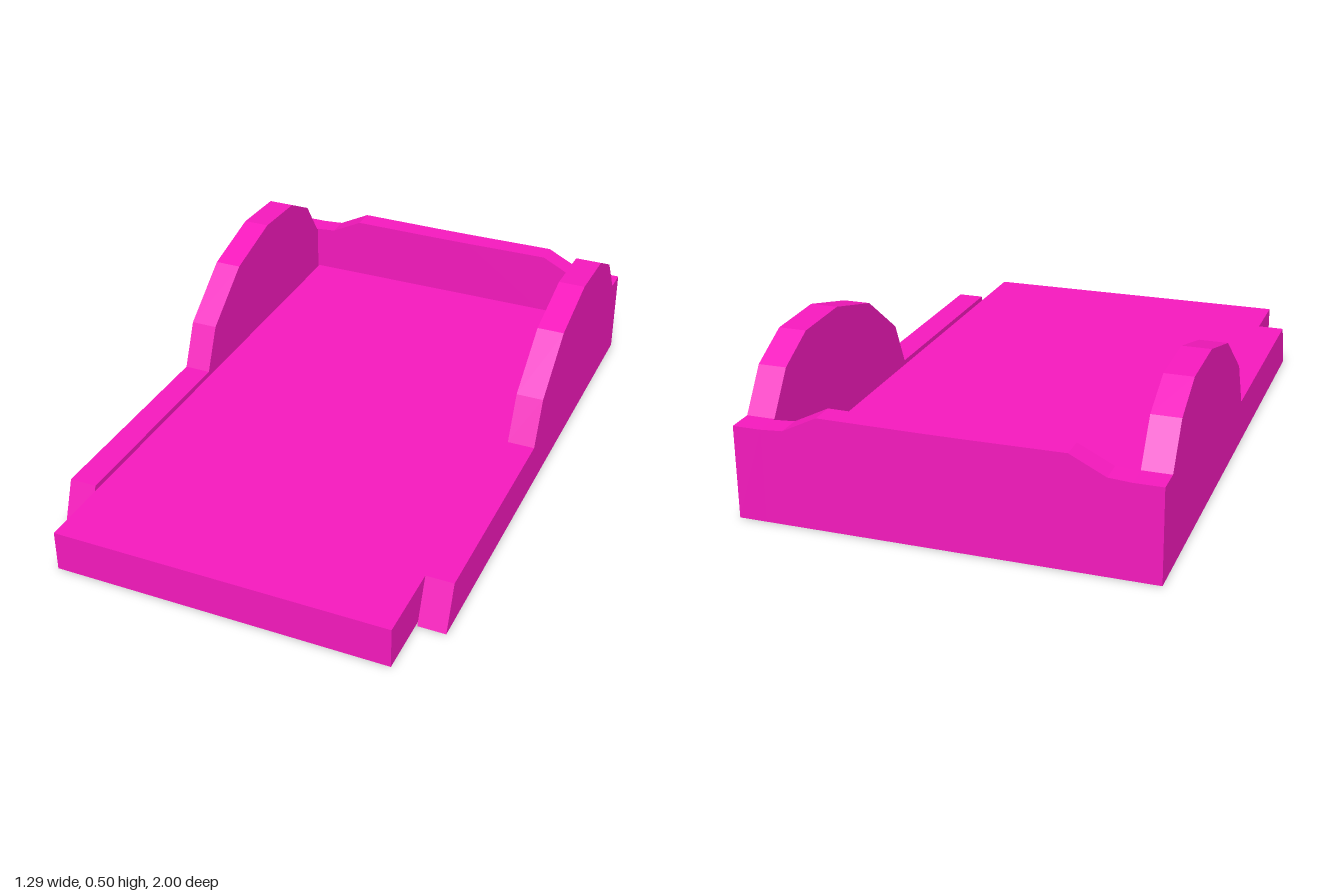
import * as THREE from 'three';

const material = new THREE.MeshStandardMaterial({ color: 0xf519bd, flatShading: true });

// Flat outline pushed to a given thickness along +z
function extrude(points, depth) {
  const shape = new THREE.Shape(points.map(([x, y]) => new THREE.Vector2(x, y)));
  return new THREE.ExtrudeGeometry(shape, { depth, bevelEnabled: false });
}

export function createModel() {
  const model = new THREE.Group();
  const add = (name, geometry) => {
    const mesh = new THREE.Mesh(geometry, material);
    mesh.name = name;
    model.add(mesh);
    return mesh;
  };

  // Base slab
  add('basePlate', new THREE.BoxGeometry(1.1, 0.135, 1.925)).position.set(0, 0.0675, 0.0375);

  // Side walls: low rail in front, faceted arch behind (outline as z, y)
  const sideOutline = [
    [-1, 0], [0.81, 0], [0.755, 0.147], [0.005, 0.147], [-0.06, 0.295], [-0.255, 0.442],
    [-0.485, 0.503], [-0.695, 0.495], [-0.83, 0.425], [-0.917, 0.295], [-1, 0.295],
  ];
  const wallThickness = 0.09;
  for (const [name, outerX] of [['leftWall', 0.645], ['rightWall', -0.555]]) {
    const wall = extrude(sideOutline, wallThickness);
    wall.rotateY(-Math.PI / 2);
    add(name, wall).position.x = outerX;
  }

  // Back wall with sloped shoulders
  const half = [[0.556, 0], [0.556, 0.295], [0.485, 0.3], [0.375, 0.355], [0.07, 0.353]];
  const mirrored = half.map(([x, y]) => [-x, y]).reverse();
  add('backWall', extrude([...half, ...mirrored], 0.077)).position.z = -1;

  return model;
}
